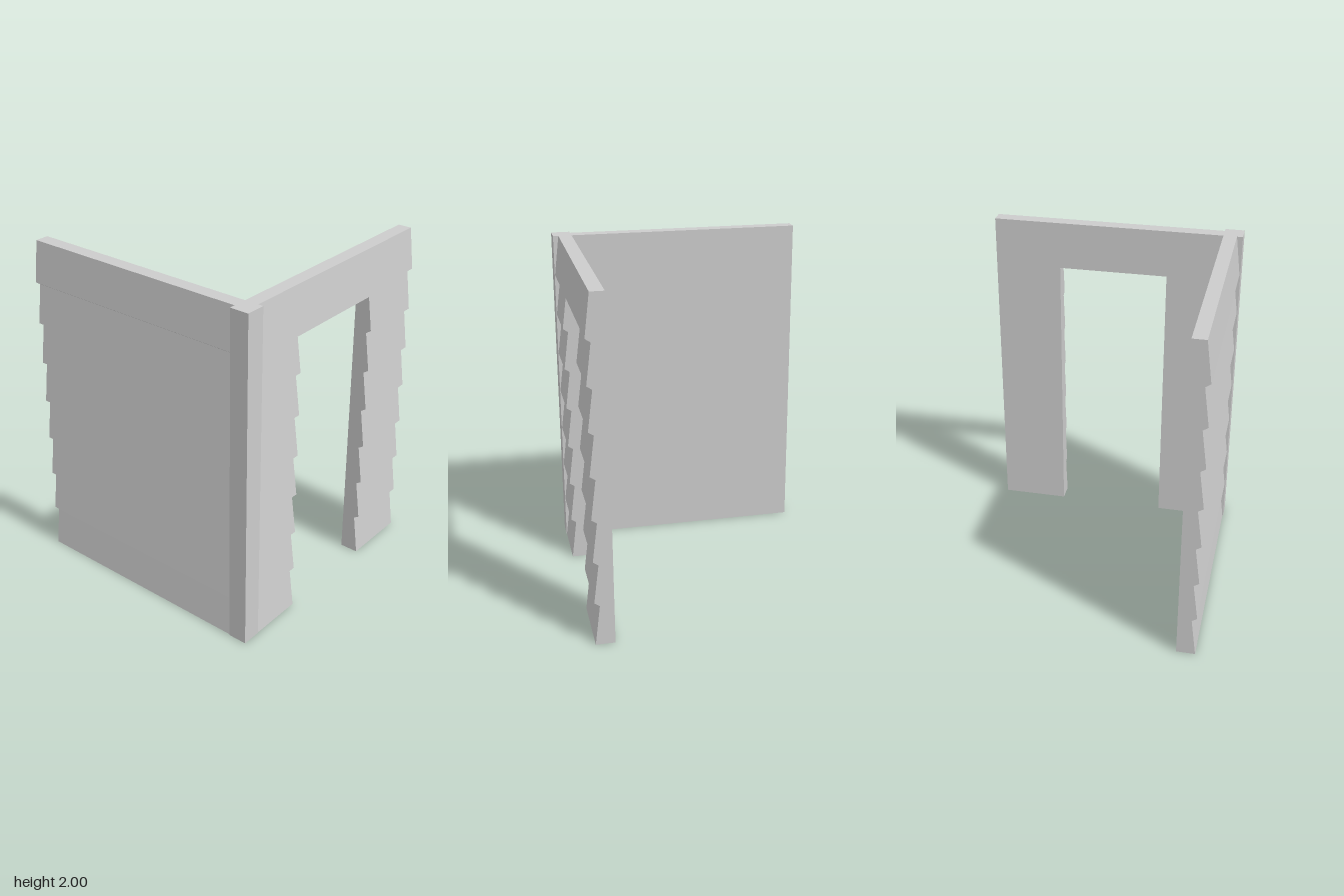
import * as THREE from 'three';

const HEIGHT = 2, COURSE = 0.25, LIP = 0.01;
const INNER = 0.645, RECESS = 0.725, OUTER = 0.755;
const DOOR = { left: -0.315, right: 0.35, top: 1.71 };

const material = new THREE.MeshStandardMaterial({ color: 0xcccccc, flatShading: true });

// Depth of the sloping board face at height y
function faceDepth(y) {
  const i = Math.floor(y / COURSE);
  const low = i === 0 ? 0 : i * COURSE + LIP;
  const high = (i + 1) * COURSE >= HEIGHT ? HEIGHT : (i + 1) * COURSE - LIP;
  return OUTER + (RECESS - OUTER) * (y - low) / (high - low);
}

// Lapped-board wall section between two heights, extruded to a length
function clapboard(y0, y1, length) {
  const shape = new THREE.Shape();
  shape.moveTo(INNER, y0);
  shape.lineTo(faceDepth(y0), y0);
  for (let y = COURSE; y < HEIGHT - 0.01; y += COURSE) {
    if (y - LIP <= y0 || y + LIP >= y1) continue;
    shape.lineTo(RECESS, y - LIP);
    shape.lineTo(OUTER, y + LIP);
  }
  shape.lineTo(y1 === HEIGHT ? RECESS : faceDepth(y1), y1);
  shape.lineTo(INNER, y1);
  shape.closePath();
  return new THREE.ExtrudeGeometry(shape, { depth: length, bevelEnabled: false });
}

export function createModel() {
  const group = new THREE.Group();
  const add = (name, geometry) => {
    const mesh = new THREE.Mesh(geometry, material);
    mesh.name = name;
    group.add(mesh);
    return mesh;
  };

  // Front wall: a jamb on each side of the doorway and a header over it
  const frontPiece = (name, x0, x1, y0, y1) => {
    const mesh = add(name, clapboard(y0, y1, x1 - x0));
    mesh.rotation.y = -Math.PI / 2;
    mesh.position.x = x1;
  };
  frontPiece('rightJambWall', -INNER, DOOR.left, 0, DOOR.top);
  frontPiece('leftJambWall', DOOR.right, OUTER, 0, DOOR.top);
  frontPiece('doorHeader', -INNER, OUTER, DOOR.top, HEIGHT);

  // Side wall running back from the corner
  const side = add('sideWall', clapboard(0, HEIGHT, INNER + 0.757));
  side.rotation.y = Math.PI;
  side.position.z = INNER;

  // Square corner post
  const post = add('cornerPost', new THREE.BoxGeometry(0.115, HEIGHT, 0.112));
  post.position.set(-INNER - 0.0575, HEIGHT / 2, INNER + 0.056);

  return group;
}
